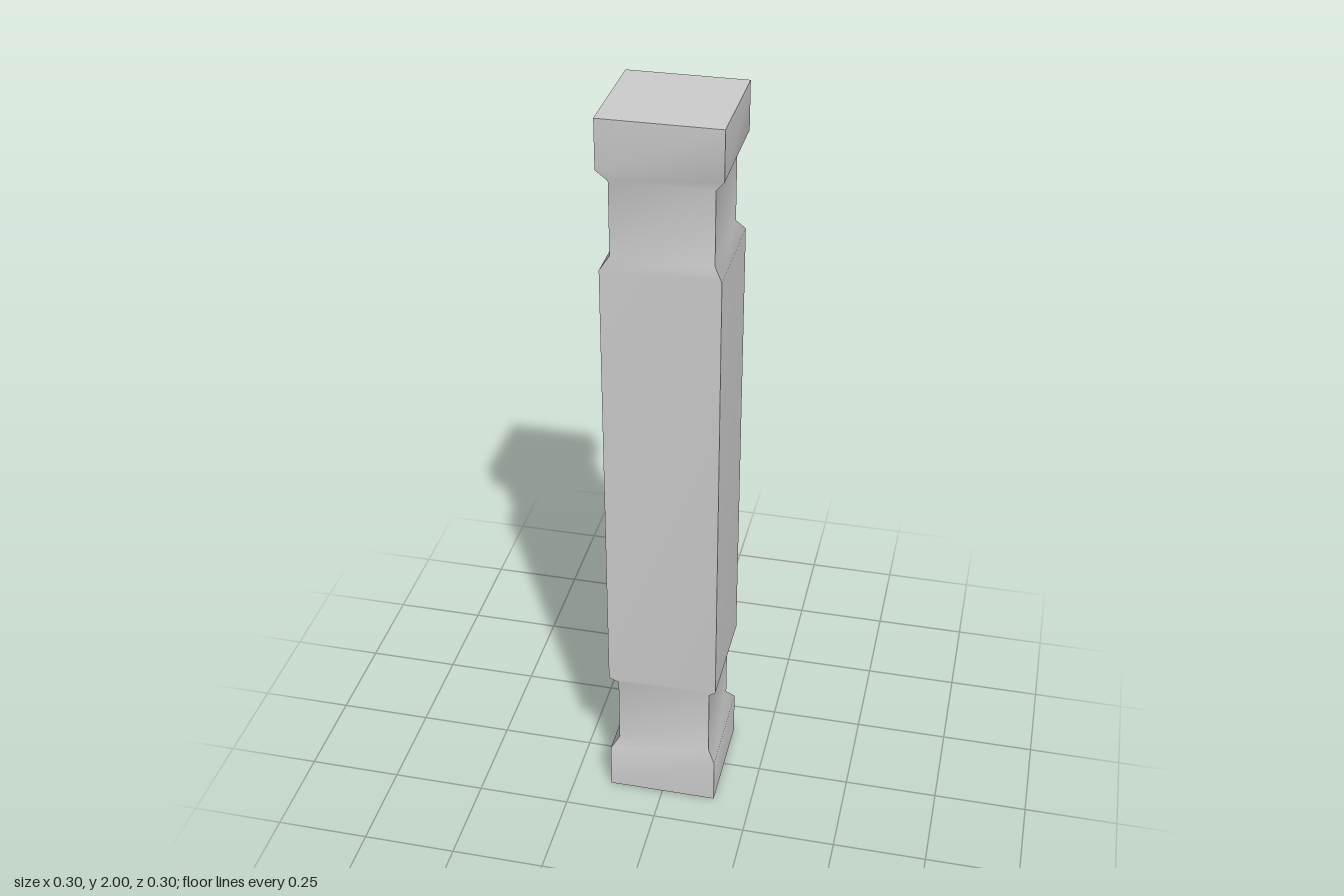
import * as THREE from 'three';

// Post profile from top to bottom: [half width, height]
const PROFILE = [
  [0.15, 2], [0.15, 1.875], [0.126, 1.84], [0.126, 1.65], [0.147, 1.62],
  [0.147, 0.385], [0.126, 0.355], [0.126, 0.16], [0.147, 0.13], [0.147, 0],
];

// One face of the post: a strip of rows shaped by the profile, smooth along its height
function faceGeometry() {
  const geometry = new THREE.PlaneGeometry(2, 1, 1, PROFILE.length - 1);
  const position = geometry.attributes.position;
  for (let i = 0; i < position.count; i++) {
    const [half, y] = PROFILE[Math.floor(i / 2)];
    position.setXYZ(i, Math.sign(position.getX(i)) * half, y, half);
  }
  geometry.computeVertexNormals();
  return geometry;
}

export function createModel() {
  const model = new THREE.Group();
  model.name = 'squarePost';
  const material = new THREE.MeshStandardMaterial({ color: 0xcccccc });

  // Four identical faces with sharp corners between them
  const face = faceGeometry();
  ['frontFace', 'leftFace', 'backFace', 'rightFace'].forEach((name, i) => {
    const mesh = new THREE.Mesh(face, material);
    mesh.name = name;
    mesh.rotation.y = (i * Math.PI) / 2;
    model.add(mesh);
  });

  // Flat square ends
  const addEnd = (name, [half, y], tilt) => {
    const mesh = new THREE.Mesh(new THREE.PlaneGeometry(half * 2, half * 2), material);
    mesh.name = name;
    mesh.position.y = y;
    mesh.rotation.x = tilt;
    model.add(mesh);
  };
  addEnd('topEnd', PROFILE[0], -Math.PI / 2);
  addEnd('bottomEnd', PROFILE[PROFILE.length - 1], Math.PI / 2);

  return model;
}
